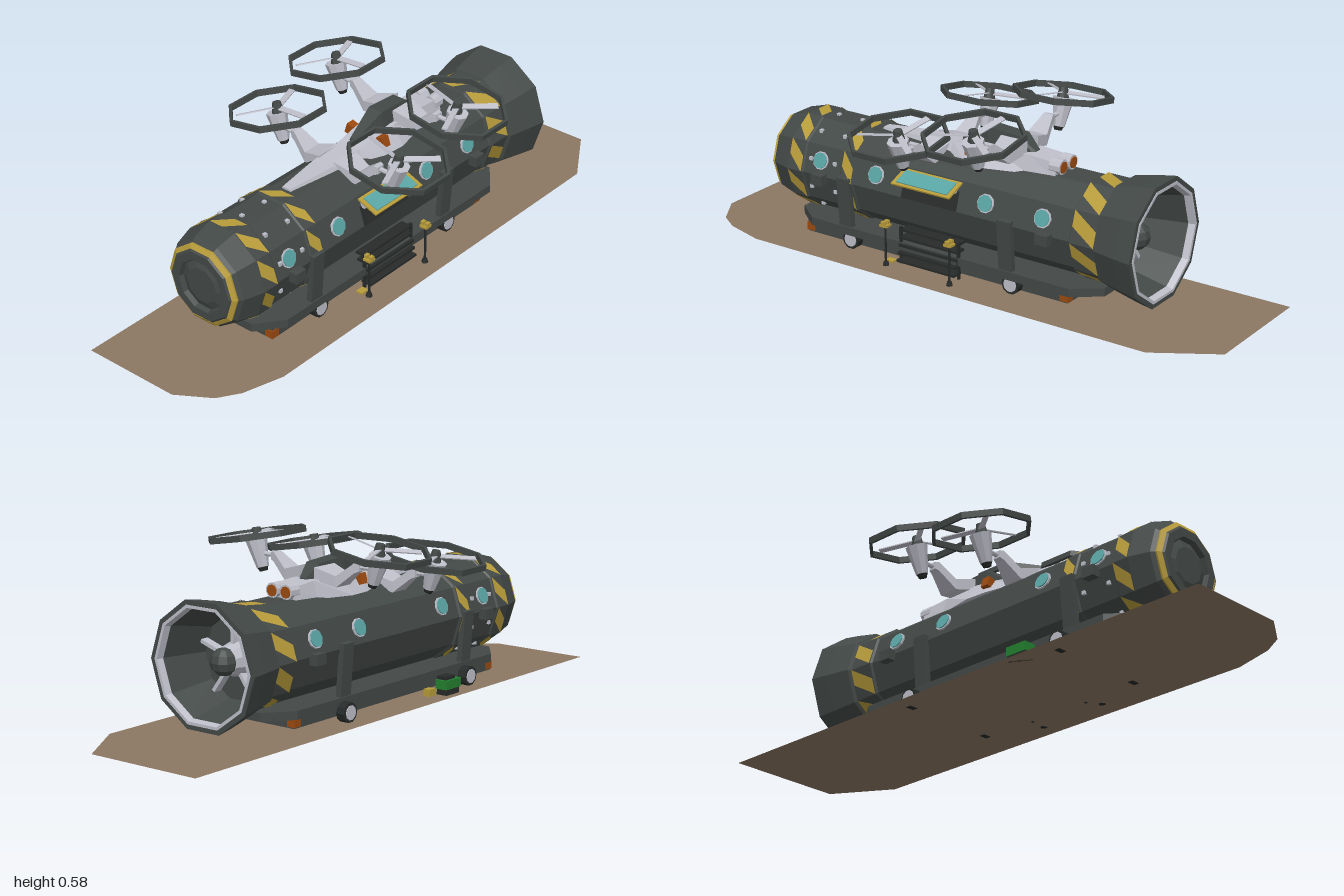
import * as THREE from 'three';

const mat = (name, color, side = THREE.FrontSide) => {
  const m = new THREE.MeshStandardMaterial({ color, side });
  m.name = name;
  return m;
};

export function createModel() {
  const hull = mat('hull grey', 0x434947);
  const black = mat('near black', 0x272b2a);
  const yellow = mat('warning yellow', 0xb89c3a, THREE.DoubleSide);
  const light = mat('pale grey', 0xbfbfca);
  const cyan = mat('cyan glass', 0x5aa5a5);
  const orange = mat('burnt orange', 0x9c4a10);
  const green = mat('machine green', 0x23802f);
  const brown = mat('dirt brown', 0x8b7762, THREE.DoubleSide);

  const model = new THREE.Group();
  const CY = 0.232; // height of the hull axis

  // Adds a facetted mesh to a parent
  const add = (name, geo, material, x = 0, y = 0, z = 0, parent = model) => {
    const g = geo.index ? geo.toNonIndexed() : geo;
    g.computeVertexNormals();
    const m = new THREE.Mesh(g, material);
    m.name = name;
    m.position.set(x, y, z);
    parent.add(m);
    return m;
  };
  const box = (name, material, w, h, d, x, y, z, parent) =>
    add(name, new THREE.BoxGeometry(w, h, d), material, x, y, z, parent);

  // Ten-sided lathe along z, flat side up
  const hullLathe = (pts) => new THREE.LatheGeometry(
    pts.map(([r, z]) => new THREE.Vector2(r, z)), 10, Math.PI / 10).rotateX(Math.PI / 2);

  // Skin joining four-cornered rings
  const loft = (rings) => {
    const idx = [0, 2, 1, 0, 3, 2];
    for (let i = 0; i < rings.length - 1; i++) {
      for (let j = 0; j < 4; j++) {
        const a = i * 4 + j, b = i * 4 + (j + 1) % 4;
        idx.push(a, b, b + 4, a, b + 4, a + 4);
      }
    }
    const e = (rings.length - 1) * 4;
    idx.push(e, e + 1, e + 2, e, e + 2, e + 3);
    const g = new THREE.BufferGeometry();
    g.setAttribute('position', new THREE.Float32BufferAttribute(rings.flat(2), 3));
    g.setIndex(idx);
    return g;
  };
  const ringZ = ([z, wb, wt, yb, yt]) => [[wb, yb, z], [wt, yt, z], [-wt, yt, z], [-wb, yb, z]];
  const ringX = ([x, y, h, w]) => [[x, y - h, -w], [x, y + h, -w], [x, y + h, w], [x, y - h, w]];

  // Ground patch
  const dirt = new THREE.Shape([[-0.255, -1], [0.16, -1], [0.285, -0.8], [0.285, 0.72], [0.245, 0.86],
    [0.2, 0.93], [0.09, 1], [-0.255, 1]].map(([x, z]) => new THREE.Vector2(x, -z)));
  add('ground', new THREE.ShapeGeometry(dirt).rotateX(-Math.PI / 2), brown, 0, 0.003, 0);

  // Hull with open rear flare and stepped nose
  add('hull', hullLathe([[0, -0.52], [0.14, -0.52], [0.187, -0.69], [0.21, -0.69], [0.2, -0.63],
    [0.182, -0.545], [0.17, -0.54], [0.17, -0.45], [0.163, -0.445], [0.163, 0.395], [0.17, 0.4],
    [0.17, 0.45], [0.165, 0.455], [0.165, 0.605], [0.17, 0.61], [0.17, 0.67], [0.15, 0.74],
    [0.14, 0.75], [0.118, 0.772], [0.09, 0.772], [0.085, 0.755], [0.06, 0.765], [0, 0.765]]), hull, 0, CY, 0);
  add('noseRing', hullLathe([[0.137, 0.745], [0.14, 0.758], [0.125, 0.767], [0.122, 0.755]]), yellow, 0, CY, 0);
  add('flareRim', hullLathe([[0.178, -0.67], [0.184, -0.692], [0.194, -0.692], [0.194, -0.685]]), light, 0, CY, 0);

  // Rear engine
  add('engineCore', new THREE.CylinderGeometry(0.045, 0.06, 0.07, 10).rotateX(-Math.PI / 2), light, 0, CY, -0.55);
  add('engineCap', new THREE.SphereGeometry(0.045, 10, 6), hull, 0, CY, -0.59);
  for (let i = 0; i < 5; i++) {
    const vane = box('engineVane', light, 0.012, 0.09, 0.03, 0, CY, -0.54);
    vane.rotation.z = i * Math.PI * 0.4;
    vane.translateY(0.09);
  }

  // Point on side k of the hull, s across the side
  const onHull = (k, s, r, z) => {
    const a = k * Math.PI / 5, b = a + Math.PI / 5;
    return [r * THREE.MathUtils.lerp(Math.cos(a), Math.cos(b), s),
      CY + r * THREE.MathUtils.lerp(Math.sin(a), Math.sin(b), s), z];
  };
  const patch = (name, material, k, r, z0, z1, s) => {
    const g = new THREE.BufferGeometry();
    const p = [onHull(k, s[0], r, z0), onHull(k, s[1], r, z0), onHull(k, s[2], r, z1), onHull(k, s[3], r, z1)];
    g.setAttribute('position', new THREE.Float32BufferAttribute(p.flat(), 3));
    g.setIndex([0, 1, 2, 0, 2, 3]);
    add(name, g, material);
  };

  // Slanted warning stripes on three bands, and rivets
  for (let k = 0; k < 10; k++) {
    for (const [z0, z1] of [[0.612, 0.668], [0.402, 0.448], [-0.538, -0.452]]) {
      patch('warningStripe', yellow, k, 0.172, z0, z1, [0, 0.5, 1, 0.5]);
    }
    for (const z of [0.48, 0.58]) {
      const [x, y] = onHull(k, 0.5, 0.166, z);
      box('rivet', light, 0.012, 0.012, 0.012, x, y, z);
    }
  }

  // Portholes on both flanks
  for (const a of [Math.PI / 10, Math.PI * 0.9]) {
    for (const z of [0.54, 0.31, -0.125, -0.34]) {
      const hole = new THREE.Group();
      hole.name = 'porthole';
      hole.position.set(Math.cos(a) * 0.157, CY + Math.sin(a) * 0.157, z);
      hole.rotation.z = a - Math.PI / 2;
      model.add(hole);
      add('portholeRim', new THREE.CylinderGeometry(0.031, 0.031, 0.008, 10), light, 0, 0, 0, hole);
      add('portholeGlass', new THREE.CylinderGeometry(0.027, 0.027, 0.008, 10), cyan, 0, 0.004, 0, hole);
    }
  }

  // Undercarriage: rail, keel box, struts, wheels, lamps
  const rail = new THREE.Shape([[-0.17, -0.45], [-0.1, -0.54], [0.1, -0.54], [0.17, -0.45], [0.17, 0.57],
    [0.1, 0.66], [-0.1, 0.66], [-0.17, 0.57]].map(([x, z]) => new THREE.Vector2(x, -z)));
  add('rail', new THREE.ExtrudeGeometry(rail, { depth: 0.028, bevelEnabled: false })
    .rotateX(-Math.PI / 2), hull, 0, 0.05, 0);
  box('keel', hull, 0.28, 0.04, 1.04, 0, 0.032, 0.09);
  for (const s of [1, -1]) {
    for (const z of [0.43, -0.21]) {
      const strut = box('strut', hull, 0.02, 0.18, 0.05, s * 0.162, 0.16, z);
      strut.rotation.z = -s * 0.08;
      const wx = s > 0 ? 0.15 : -0.185;
      add('tyre', new THREE.CylinderGeometry(0.033, 0.033, 0.032, 10).rotateZ(Math.PI / 2), black, wx, 0.034, z - 0.02);
      add('wheelHub', new THREE.CylinderGeometry(0.024, 0.024, 0.038, 10).rotateZ(Math.PI / 2), light, wx, 0.034, z - 0.02);
    }
    for (const z of [0.53, -0.36]) box('sideBracket', hull, 0.03, 0.035, 0.045, s * 0.177, 0.225, z);
    for (const z of [0.598, -0.417]) box('markerLamp', orange, 0.03, 0.028, 0.032, s * 0.128, 0.03, z);
  }

  // Doorway, raised hatch and steps on the left flank
  patch('doorUpper', black, 0, 0.165, 0.2, -0.02, [0, 0, 0.65, 0.65].map((v, i) => [0.65, 0, 0, 0.65][i]));
  patch('doorLower', hull, 9, 0.165, 0.2, -0.02, [1, 0.05, 0.05, 1]);
  box('hatchSill', light, 0.02, 0.016, 0.2, 0.147, 0.297, 0.09);
  const hatch = new THREE.Group();
  hatch.name = 'hatch';
  hatch.position.set(0.176, 0.309, 0.087);
  hatch.rotation.z = -0.38;
  model.add(hatch);
  box('hatchFrame', yellow, 0.08, 0.006, 0.23, 0, 0, 0, hatch);
  box('hatchGlass', cyan, 0.06, 0.006, 0.2, 0, 0.003, 0, hatch);
  for (let i = 0; i < 5; i++) box('step', black, 0.04, 0.008, 0.23, 0.172 - i * 0.006, 0.02 + i * 0.025, 0.085);
  for (const z of [0.2, -0.03]) box('stepSide', black, 0.01, 0.13, 0.008, 0.165, 0.066, z);
  box('stepMat', yellow, 0.025, 0.006, 0.03, 0.18, 0.01, 0.23);

  // Lamp stands beside the steps
  for (const [x, z] of [[0.209, 0.23], [0.223, -0.035]]) {
    add('lampPole', new THREE.CylinderGeometry(0.004, 0.004, 0.14, 6), black, x, 0.072, z);
    add('lampFoot', new THREE.CylinderGeometry(0.008, 0.012, 0.016, 6), black, x, 0.009, z);
    box('lampBar', yellow, 0.028, 0.008, 0.028, x, 0.143, z);
    for (const d of [-0.009, 0.009]) box('lampHead', yellow, 0.012, 0.014, 0.016, x + d, 0.151, z);
  }

  // Service cart and crate on the right flank
  box('cartBody', green, 0.045, 0.03, 0.08, -0.21, 0.038, 0.27);
  box('cartTop', black, 0.036, 0.014, 0.05, -0.205, 0.057, 0.265);
  box('cartBase', black, 0.04, 0.022, 0.07, -0.21, 0.014, 0.27);
  box('crate', yellow, 0.024, 0.024, 0.03, -0.185, 0.016, 0.2);

  // Carrier aircraft: spine, canopy, vents and thrusters
  add('spine', loft([[-0.32, 0.055, 0.045, 0.375, 0.425], [-0.22, 0.06, 0.045, 0.375, 0.432],
    [-0.08, 0.09, 0.05, 0.37, 0.432], [0.0, 0.085, 0.045, 0.37, 0.425], [0.08, 0.06, 0.04, 0.375, 0.412],
    [0.22, 0.045, 0.035, 0.375, 0.402], [0.38, 0.02, 0.015, 0.38, 0.394]].map(ringZ)), light);
  add('canopy', loft([[-0.22, 0.02, 0.012, 0.42, 0.435], [-0.17, 0.035, 0.026, 0.42, 0.478],
    [-0.05, 0.037, 0.027, 0.42, 0.485], [0.06, 0.02, 0.012, 0.405, 0.425]].map(ringZ)), hull);
  for (const s of [1, -1]) {
    const vent = box('vent', orange, 0.026, 0.036, 0.03, s * 0.066, 0.41, -0.01);
    vent.rotation.z = s * 0.3;
    const tube = (name, m, r, len, z) => add(name,
      new THREE.CylinderGeometry(r, r, len, 10).rotateX(Math.PI / 2), m, s * 0.028, 0.41, z);
    tube('thruster', light, 0.025, 0.04, -0.315);
    tube('thrusterGlow', orange, 0.019, 0.01, -0.333);
  }

  // Four tilting rotors on cranked arms
  for (const s of [1, -1]) {
    for (const [y, z] of [[0.48, 0.14], [0.54, -0.15]]) {
      const wing = new THREE.Group();
      wing.name = 'rotorArm';
      wing.position.set(0, y, z);
      wing.rotation.y = s > 0 ? 0 : Math.PI;
      model.add(wing);
      add('arm', loft([[0.03, -0.09, 0.02, 0.05], [0.105, -0.11, 0.018, 0.035],
        [0.165, -0.062, 0.016, 0.018], [0.18, -0.06, 0.012, 0.014]].map(ringX)), light, 0, 0, 0, wing);
      add('armPin', new THREE.CylinderGeometry(0.008, 0.008, 0.06, 8).rotateZ(Math.PI / 2), light, 0.2, -0.06, 0, wing);
      const pod = add('nacelle', new THREE.CylinderGeometry(0.036, 0.02, 0.095, 8), light, 0.24, -0.06, 0, wing);
      pod.rotation.z = -0.3;
      const tail = add('nacelleTail', new THREE.CylinderGeometry(0.018, 0.013, 0.014, 8), black, 0.224, -0.111, 0, wing);
      tail.rotation.z = -0.3;

      const rotor = new THREE.Group();
      rotor.name = 'rotor';
      rotor.position.set(0.25, 0, 0);
      rotor.rotation.z = -0.17;
      wing.add(rotor);
      add('rotorHub', new THREE.CylinderGeometry(0.014, 0.022, 0.045, 8), hull, 0, 0, 0, rotor);
      for (let i = 0; i < 3; i++) {
        const blade = box('blade', light, 0.125, 0.004, 0.02, 0, 0.004, 0, rotor);
        blade.rotation.set(0, 0.9 + i * Math.PI * 2 / 3, 0);
        blade.translateX(0.072);
        blade.rotateX(0.3);
      }
      // Octagonal guard ring
      const R = 0.168, r = 0.157;
      add('rotorGuard', new THREE.LatheGeometry([[r, -0.01], [R, -0.01], [R, 0.01], [r, 0.01], [r, -0.01]]
        .map(([a, b]) => new THREE.Vector2(a, b)), 8, Math.PI / 8), hull, 0, 0, 0, rotor);
    }
  }
  return model;
}
